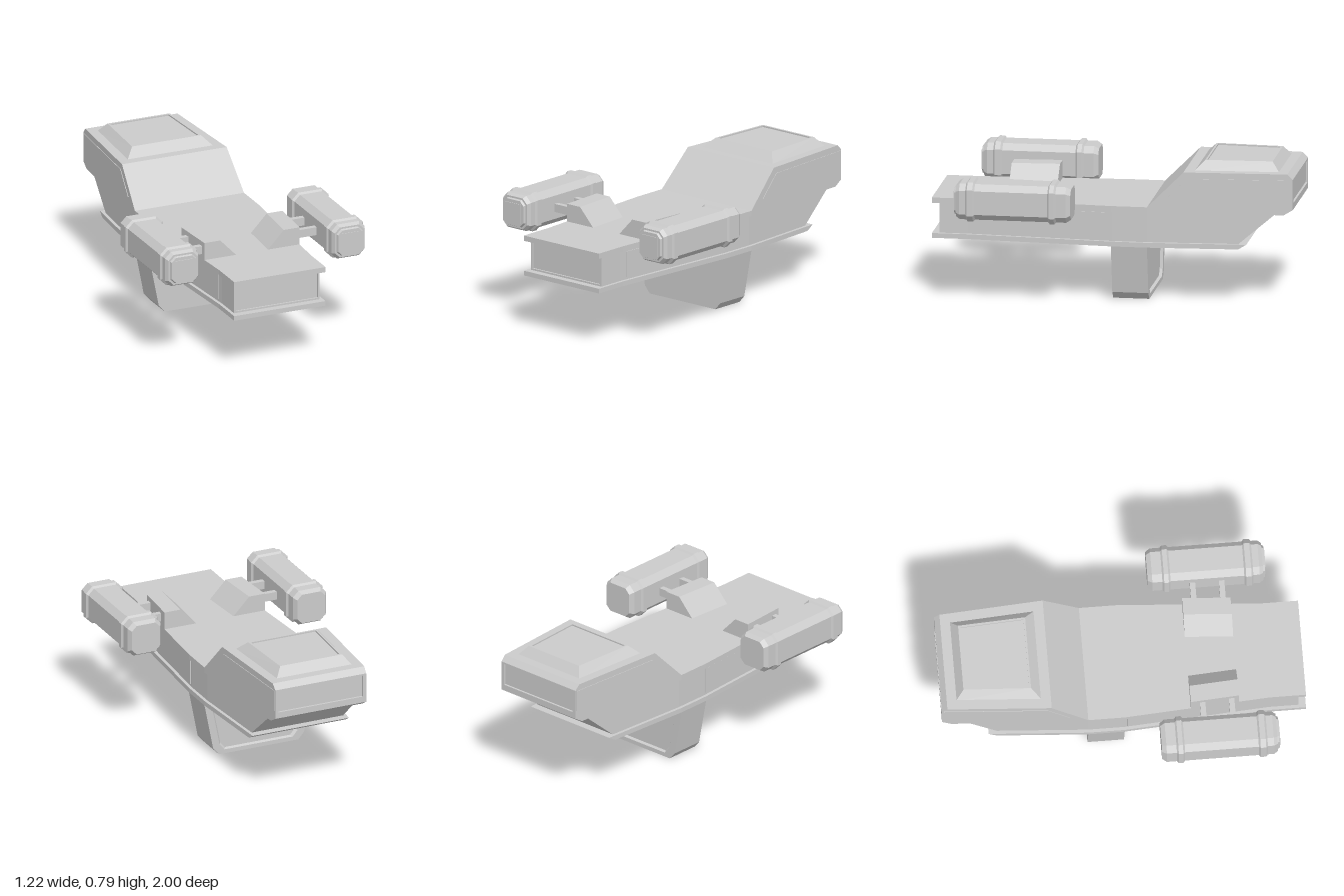
import * as THREE from 'three';

const material = new THREE.MeshStandardMaterial({ color: 0xcccccc, flatShading: true });

// Skin a list of convex rings (equal point counts, counter-clockwise seen from the last ring) and cap both ends.
function loft(name, rings) {
  const pos = [];
  const tri = (a, b, c) => pos.push(...a, ...b, ...c);
  const n = rings[0].length;
  for (let r = 0; r < rings.length - 1; r++) {
    for (let i = 0; i < n; i++) {
      const j = (i + 1) % n;
      const [a, b, c, d] = [rings[r][i], rings[r][j], rings[r + 1][j], rings[r + 1][i]];
      tri(a, b, c);
      tri(a, c, d);
    }
  }
  const first = rings[0], last = rings[rings.length - 1];
  for (let i = 1; i < n - 1; i++) {
    tri(first[0], first[i + 1], first[i]);
    tri(last[0], last[i], last[i + 1]);
  }
  const geometry = new THREE.BufferGeometry();
  geometry.setAttribute('position', new THREE.Float32BufferAttribute(pos, 3));
  geometry.computeVertexNormals();
  const mesh = new THREE.Mesh(geometry, material);
  mesh.name = name;
  return mesh;
}

// Half width of the hull plan along z
const PLAN = [[-1, 0.275], [-0.2, 0.328], [0, 0.328], [0.8, 0.275], [1, 0.275]];
function halfWidth(z) {
  const k = Math.max(1, PLAN.findIndex(p => p[0] >= z));
  const [[z0, w0], [z1, w1]] = [PLAN[k - 1], PLAN[k]];
  return w0 + (w1 - w0) * (z - z0) / (z1 - z0);
}

const rect = (w, y0, y1, z) => [[-w, y0, z], [w, y0, z], [w, y1, z], [-w, y1, z]];

// Hull layer from stations [z, bottom, top]; inset narrows it
const stations = (list, inset) => list.map(([z, y0, y1]) => rect(halfWidth(z) - inset, y0, y1, z));

function octagon(r, z) {
  const c = r * 0.66;
  return [[c, -r], [r, -c], [r, c], [c, r], [-c, r], [-r, c], [-r, -c], [-c, -r]].map(([x, y]) => [x, y, z]);
}

// Engine pod with raised bands and a stepped, recessed nose
function makePod() {
  const profile = [
    [0.085, 0.185], [0.1, 0.21], [0.1, 0.265], [0.11, 0.275], [0.11, 0.3], [0.1, 0.31],
    [0.1, 0.715], [0.11, 0.725], [0.11, 0.755], [0.1, 0.765], [0.1, 0.8], [0.088, 0.82],
    [0.078, 0.82], [0.073, 0.832], [0.062, 0.832],
  ];
  const pod = new THREE.Group();
  pod.name = 'enginePod';
  pod.add(loft('podBody', profile.map(([r, z]) => octagon(r, z))));
  const intake = new THREE.Mesh(new THREE.BoxGeometry(0.11, 0.11, 0.02), material);
  intake.name = 'podIntake';
  intake.position.z = 0.826;
  pod.add(intake);
  return pod;
}

export function createModel() {
  const model = new THREE.Group();
  model.name = 'spaceship';

  // Upper deck rising into the rear bridge block, with a recessed stern panel
  model.add(loft('upperDeck', [
    rect(0.255, 0.57, 0.695, -0.988),
    rect(0.255, 0.57, 0.695, -1),
    ...stations([
      [-1, 0.535, 0.705], [-0.97, 0.517, 0.735], [-0.95, 0.505, 0.735], [-0.4, 0.505, 0.735],
      [-0.2, 0.505, 0.535], [0, 0.505, 0.535], [0.8, 0.505, 0.535], [1, 0.505, 0.535],
    ], 0),
  ]));

  // Narrower middle band with a recessed bow panel
  model.add(loft('middleBand', [
    ...stations([
      [-0.9, 0.505, 0.505], [-0.7, 0.335, 0.505], [-0.2, 0.335, 0.505],
      [0, 0.335, 0.505], [0.8, 0.335, 0.505], [0.96, 0.335, 0.505],
    ], 0.018),
    rect(0.247, 0.345, 0.495, 0.96),
    rect(0.247, 0.345, 0.495, 0.95),
  ]));

  // Lower plate
  model.add(loft('lowerPlate', stations([
    [-0.745, 0.335, 0.335], [-0.7, 0.308, 0.335], [-0.2, 0.308, 0.335],
    [0, 0.308, 0.335], [0.8, 0.308, 0.335], [1, 0.308, 0.335],
  ], 0)));

  // Thin side panels, running through the hull to show on both sides
  model.add(loft('bandSidePanels', stations([[0.015, 0.348, 0.494], [0.76, 0.348, 0.494]], 0.014)));
  model.add(loft('bridgeSidePanels', stations(
    [[-0.99, 0.58, 0.7], [-0.42, 0.58, 0.7], [-0.3, 0.58, 0.58]], -0.003)));

  // Bevelled roof cap with a recessed top
  const roofRing = (y, zFront, wFront, zBack, wBack) =>
    [[-wFront, y, zFront], [wFront, y, zFront], [wBack, y, zBack], [-wBack, y, zBack]];
  model.add(loft('roofCap', [
    roofRing(0.73, -0.45, 0.26, -0.92, 0.23),
    roofRing(0.785, -0.505, 0.207, -0.875, 0.187),
    roofRing(0.785, -0.515, 0.195, -0.862, 0.175),
    roofRing(0.777, -0.515, 0.195, -0.862, 0.175),
  ]));

  // Keel fin with a recessed panel on its rear face
  const keelRing = (z, s = 1) => [
    [-0.24, 0], [0.24, 0], [0.275, 0.04], [0.328, 0.31], [-0.328, 0.31], [-0.275, 0.04],
  ].map(([x, y]) => [x * s, 0.165 + (y - 0.165) * s, z]);
  model.add(loft('keel', [
    keelRing(-0.185, 0.82), keelRing(-0.2, 0.86), keelRing(-0.2), keelRing(0),
  ]));

  // Pods, their struts and deck mounts on both sides
  for (const side of [-1, 1]) {
    const pod = makePod();
    pod.position.set(side * 0.5, 0.588, 0);
    model.add(pod);

    for (const z of [0.43, 0.59]) {
      const strut = new THREE.Mesh(new THREE.BoxGeometry(0.17, 0.046, 0.03), material);
      strut.name = 'podStrut';
      strut.position.set(side * 0.335, 0.585, z);
      model.add(strut);
    }

    const mountRing = z => {
      const w = halfWidth(z);
      const ring = [[w - 0.195, 0.53], [w, 0.53], [w, 0.635], [w - 0.095, 0.635]]
        .map(([x, y]) => [side * x, y, z]);
      return side > 0 ? ring : ring.reverse();
    };
    model.add(loft('podMount', [mountRing(0.365), mountRing(0.63)]));
  }

  return model;
}
